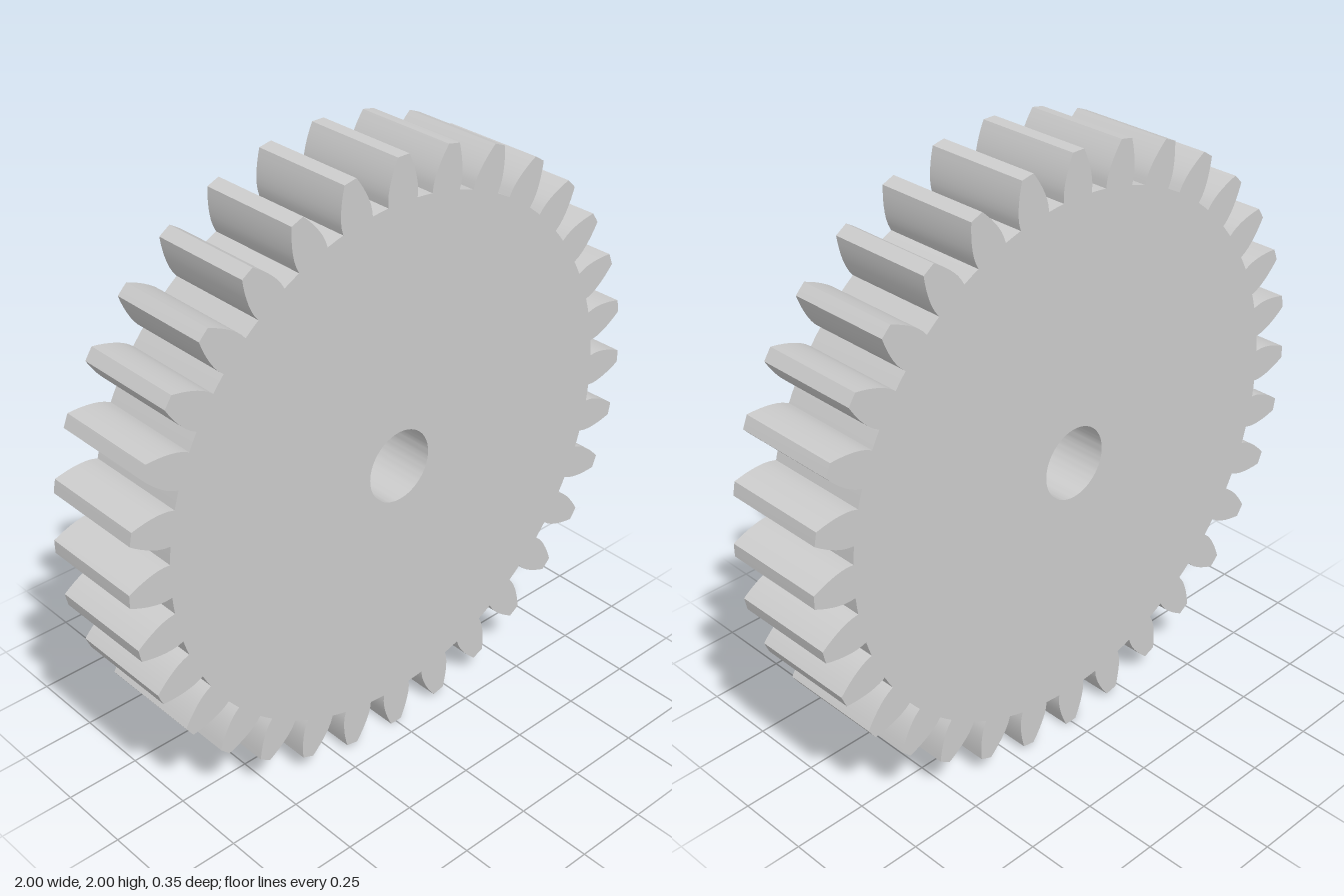
import * as THREE from 'three';
import { toCreasedNormals } from 'three/addons/utils/BufferGeometryUtils.js';

const TEETH = 32, TIP = 1, ROOT = 0.862, BASE = 0.884, PITCH = 0.941;
const BORE = 0.12, WIDTH = 0.352;

const involute = (r) => {
  const a = Math.acos(Math.min(1, BASE / r));
  return Math.tan(a) - a;
};

// Half the angle a tooth covers at radius r
const halfAngle = (r) =>
  Math.PI / (2 * TEETH) + involute(PITCH) - involute(Math.max(r, BASE));

function gearShape() {
  // One flank from root to tip
  const flank = [ROOT];
  for (let i = 0; i <= 6; i++) flank.push(BASE + (TIP - BASE) * (i / 6));

  const points = [];
  const add = (r, angle) =>
    points.push(new THREE.Vector2(r * Math.cos(angle), r * Math.sin(angle)));

  for (let t = 0; t < TEETH; t++) {
    const centre = (t / TEETH) * Math.PI * 2;
    flank.forEach((r) => add(r, centre - halfAngle(r)));
    add(TIP, centre);
    [...flank].reverse().forEach((r) => add(r, centre + halfAngle(r)));
    // Middle of the gap floor
    add(ROOT, centre + Math.PI / TEETH);
  }

  const shape = new THREE.Shape(points);
  shape.holes.push(new THREE.Path().absarc(0, 0, BORE, 0, Math.PI * 2, true));
  return shape;
}

export function createModel() {
  const group = new THREE.Group();
  group.name = 'spurGear';

  // Toothed disc with a round shaft bore
  const geometry = new THREE.ExtrudeGeometry(gearShape(), {
    depth: WIDTH, bevelEnabled: false, curveSegments: 48,
  });
  geometry.translate(0, 0, -WIDTH / 2);

  const gear = new THREE.Mesh(
    toCreasedNormals(geometry, 0.4),
    new THREE.MeshStandardMaterial({ color: 0xcccccc })
  );
  gear.name = 'gearWheel';
  gear.position.y = TIP;
  group.add(gear);
  return group;
}
